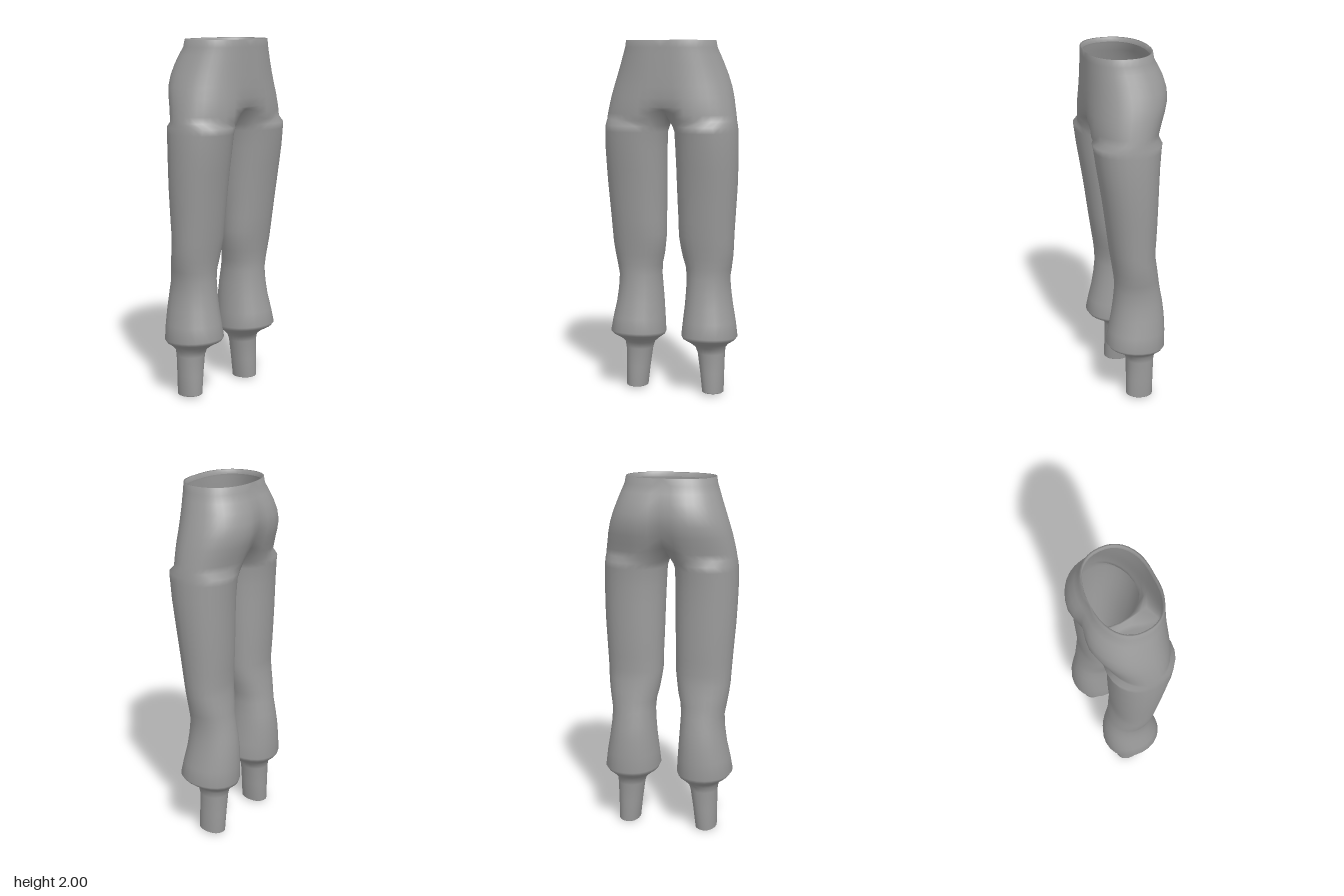
import * as THREE from 'three';
import { mergeVertices } from 'three/addons/utils/BufferGeometryUtils.js';

const OUTER = 20; // segments around the outside of each half
const INNER = 4;  // segments along the inseam

// Hips: y, half width, front z, back z, front crease, back crease
const hips = [
  [1.975, 0.240, 0.203, -0.137, 0.004, 0.000],
  [1.998, 0.241, 0.207, -0.141, 0.004, 0.000],
  [2.000, 0.250, 0.215, -0.150, 0.005, 0.000],
  [1.960, 0.257, 0.215, -0.156, 0.005, 0.003],
  [1.920, 0.272, 0.216, -0.178, 0.005, 0.010],
  [1.870, 0.290, 0.217, -0.203, 0.005, 0.018],
  [1.810, 0.312, 0.218, -0.220, 0.005, 0.028],
  [1.750, 0.332, 0.220, -0.222, 0.006, 0.036],
  [1.690, 0.348, 0.223, -0.205, 0.012, 0.042],
  [1.640, 0.358, 0.224, -0.187, 0.026, 0.050],
  [1.600, 0.366, 0.223, -0.174, 0.048, 0.060],
  [1.565, 0.371, 0.221, -0.164, 0.080, 0.072],
];

// Legs: y, inner x, outer x, front z, back z, tilt of the ring
const legs = [
  [1.535, 0.018, 0.375, 0.218, -0.157, 0],
  [1.500, 0.030, 0.378, 0.212, -0.150, 0],
  [1.400, 0.034, 0.380, 0.198, -0.142, 0],
  [1.300, 0.036, 0.378, 0.181, -0.138, 0],
  [1.200, 0.037, 0.374, 0.165, -0.135, 0],
  [1.100, 0.039, 0.367, 0.151, -0.132, 0],
  [1.000, 0.042, 0.360, 0.138, -0.128, 0],
  [0.920, 0.042, 0.355, 0.127, -0.123, 0],
  [0.860, 0.050, 0.352, 0.118, -0.126, 0],
  [0.800, 0.060, 0.345, 0.109, -0.135, 0],
  [0.740, 0.076, 0.335, 0.102, -0.143, 0],
  [0.680, 0.081, 0.324, 0.101, -0.153, 0],
  [0.600, 0.077, 0.329, 0.109, -0.168, 0],
  [0.520, 0.071, 0.340, 0.121, -0.178, 0],
  [0.430, 0.063, 0.358, 0.139, -0.181, 0.04],
  [0.345, 0.056, 0.371, 0.154, -0.180, 0.08],
  [0.325, 0.066, 0.355, 0.140, -0.172, 0.08],
  [0.300, 0.100, 0.318, 0.090, -0.145, 0.08],
  [0.275, 0.128, 0.298, 0.052, -0.126, 0.06],
  [0.240, 0.140, 0.294, 0.040, -0.119, 0.03],
  [0.130, 0.156, 0.291, 0.040, -0.114, 0.03],
  [0.015, 0.170, 0.289, 0.042, -0.110, 0.08],
  [0.010, 0.176, 0.283, 0.035, -0.103, 0.08],
  [0.025, 0.177, 0.282, 0.034, -0.102, 0.08],
];

const softPow = (v, p) => Math.sign(v) * Math.pow(Math.abs(v), p);

// Open arc from the front centre line around the hip to the back centre line
function hipArc([y, w, zf, zb, creaseF, creaseB], lift) {
  const points = [];
  for (let j = 0; j <= OUTER; j++) {
    const a = Math.PI * j / OUTER;
    const x = j % OUTER === 0 ? 0 : w * softPow(Math.sin(a), 0.87);
    const c = softPow(Math.cos(a), 0.87);
    const near = Math.exp(-((x / 0.07) ** 2));
    const z = (zf + zb) / 2 + c * (zf - zb) / 2 + near * (c > 0 ? -creaseF : creaseB);
    points.push([x, y + lift * near, z]);
  }
  return points;
}

// Closed leg ring whose columns line up with the hip arc
function legRing([y, xi, xo, zf, zb, tilt]) {
  const points = [];
  const cz = (zf + zb) / 2;
  for (let j = 0; j < OUTER + INNER; j++) {
    const a = -Math.PI / 3 + (Math.PI * 2 * j) / (OUTER + INNER);
    const x = (xi + xo) / 2 + softPow(Math.sin(a), 0.94) * (xo - xi) / 2;
    const z = cz + softPow(Math.cos(a), 0.94) * (zf - zb) / 2;
    points.push([x, y + tilt * (z - cz), z]);
  }
  return points;
}

function trouserGeometry() {
  const arcs = hips.map((h, i) => hipArc(h, i === hips.length - 1 ? 0.045 : i === hips.length - 2 ? 0.025 : 0));

  // Crotch curve closes the lowest hip arc into the first leg ring
  const top = arcs[arcs.length - 1].slice();
  const front = top[0], back = top[OUTER];
  for (let k = 1; k < INNER; k++) {
    const s = k / INNER;
    top.push([0, front[1] - 0.05 * Math.sin(Math.PI * s), back[2] + (front[2] - back[2]) * s]);
  }
  const rings = [top, ...legs.map(legRing)];

  const positions = [], index = [];
  for (const side of [1, -1]) {
    const skin = (rows, closed) => {
      const start = positions.length / 3;
      const n = rows[0].length;
      for (const row of rows) for (const [x, y, z] of row) positions.push(side * x, y, z);
      for (let r = 0; r < rows.length - 1; r++) {
        for (let j = 0; j < (closed ? n : n - 1); j++) {
          const a = start + r * n + j, b = start + r * n + (j + 1) % n;
          const c = a + n, d = b + n;
          if (side > 0) index.push(a, c, b, b, c, d);
          else index.push(a, b, c, b, d, c);
        }
      }
    };
    skin(arcs, false);
    skin(rings, true);
  }
  const geometry = new THREE.BufferGeometry();
  geometry.setAttribute('position', new THREE.Float32BufferAttribute(positions, 3));
  geometry.setIndex(index);
  const welded = mergeVertices(geometry, 1e-4);
  welded.computeVertexNormals();
  return welded;
}

export function createModel() {
  const group = new THREE.Group();
  group.name = 'trousers';
  const cloth = new THREE.MeshStandardMaterial({ color: 0x9c9c9c, side: THREE.DoubleSide });
  cloth.name = 'grey cloth';
  const mesh = new THREE.Mesh(trouserGeometry(), cloth);
  mesh.name = 'trouserCloth';
  group.add(mesh);
  return group;
}
